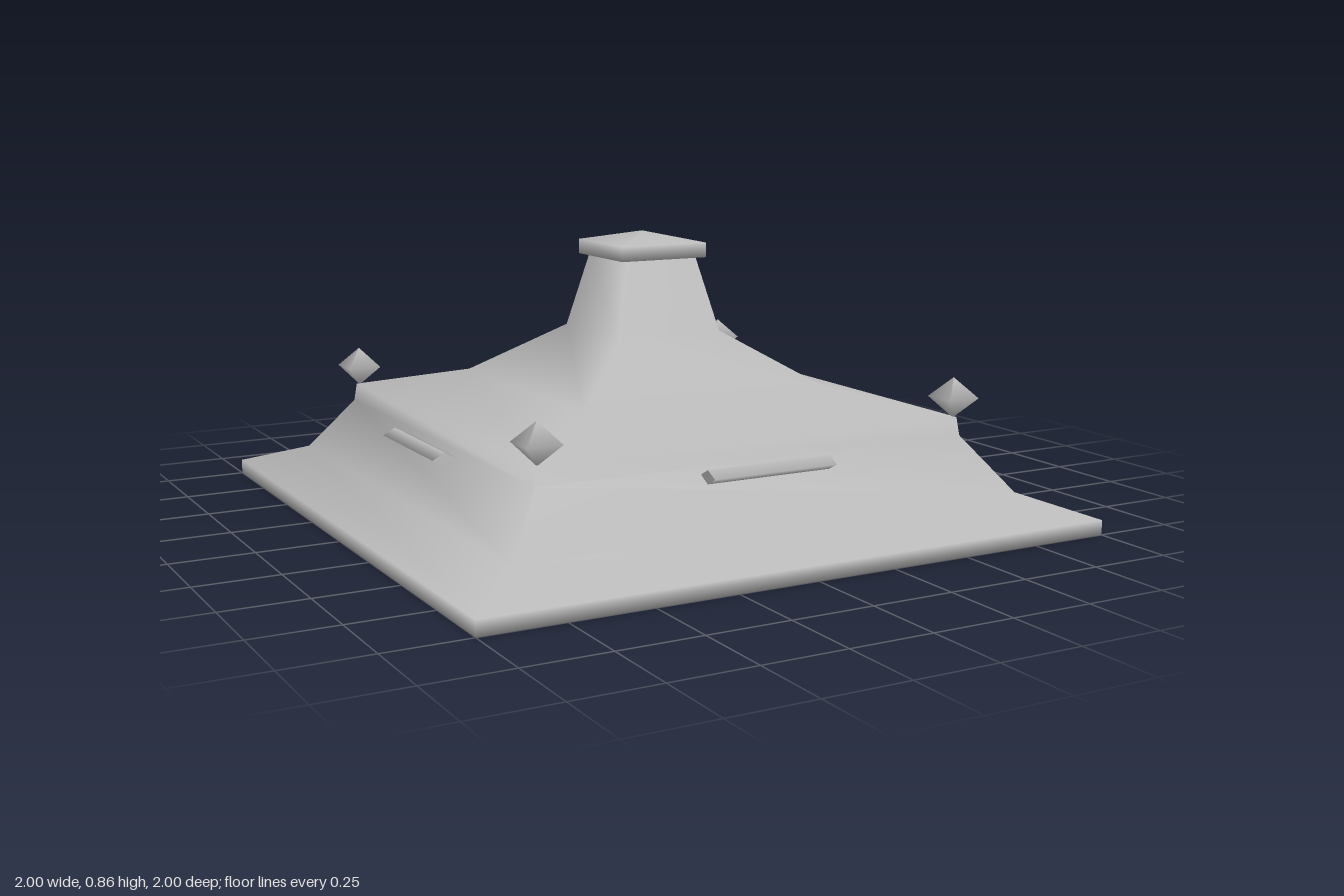
import * as THREE from 'three';

const grey = new THREE.MeshStandardMaterial({ color: 0xbcbcbc });
grey.name = 'light grey';

// Square, smooth-shaded lathe: profile is [half width, height], from bottom to top
function squareLathe(profile) {
  const points = profile.map(([w, y]) => new THREE.Vector2(w * Math.SQRT2, y));
  return new THREE.LatheGeometry(points, 4, Math.PI * 0.75);
}

function part(name, geometry, parent) {
  const mesh = new THREE.Mesh(geometry, grey);
  mesh.name = name;
  parent.add(mesh);
  return mesh;
}

export function createModel() {
  const model = new THREE.Group();
  model.name = 'pavilionRoof';

  // Flared roof with a flat underside and a tapering neck
  const profile = [
    [0, 0], [1, 0], [1, 0.045], [0.82, 0.11], [0.7, 0.275], [0.693, 0.33],
    [0.41, 0.4], [0.175, 0.56], [0.12, 0.79], [0, 0.79],
  ];
  const roof = squareLathe(profile);
  // The back left corner runs straight past the shoulder
  for (const column of [0, 4]) {
    const i = column * profile.length + 4;
    roof.attributes.position.setXYZ(i, 0.726, 0.275, -0.726);
  }
  part('roof', roof, model);

  // Cap with a shallow pyramid top
  part('cap', squareLathe([[0, 0.785], [0.145, 0.785], [0.145, 0.83], [0, 0.862]]), model);

  // Diamond finials on the four corners
  const finial = squareLathe([[0, -0.062], [0.053, 0], [0, 0.06]]);
  for (const x of [-1, 1]) {
    for (const z of [-1, 1]) {
      part('cornerFinial', finial, model).position.set(x * 0.685, 0.39, z * 0.685);
    }
  }

  // Diamond-section bars in the middle of each side
  const bar = new THREE.CylinderGeometry(1, 1, 0.4, 4);
  bar.scale(0.02, 1, 0.038);
  bar.rotateZ(Math.PI / 2);
  bar.translate(0, 0.257, 0.748);
  for (let i = 0; i < 4; i++) {
    part('sideBar', bar, model).rotation.y = i * Math.PI / 2;
  }

  return model;
}
